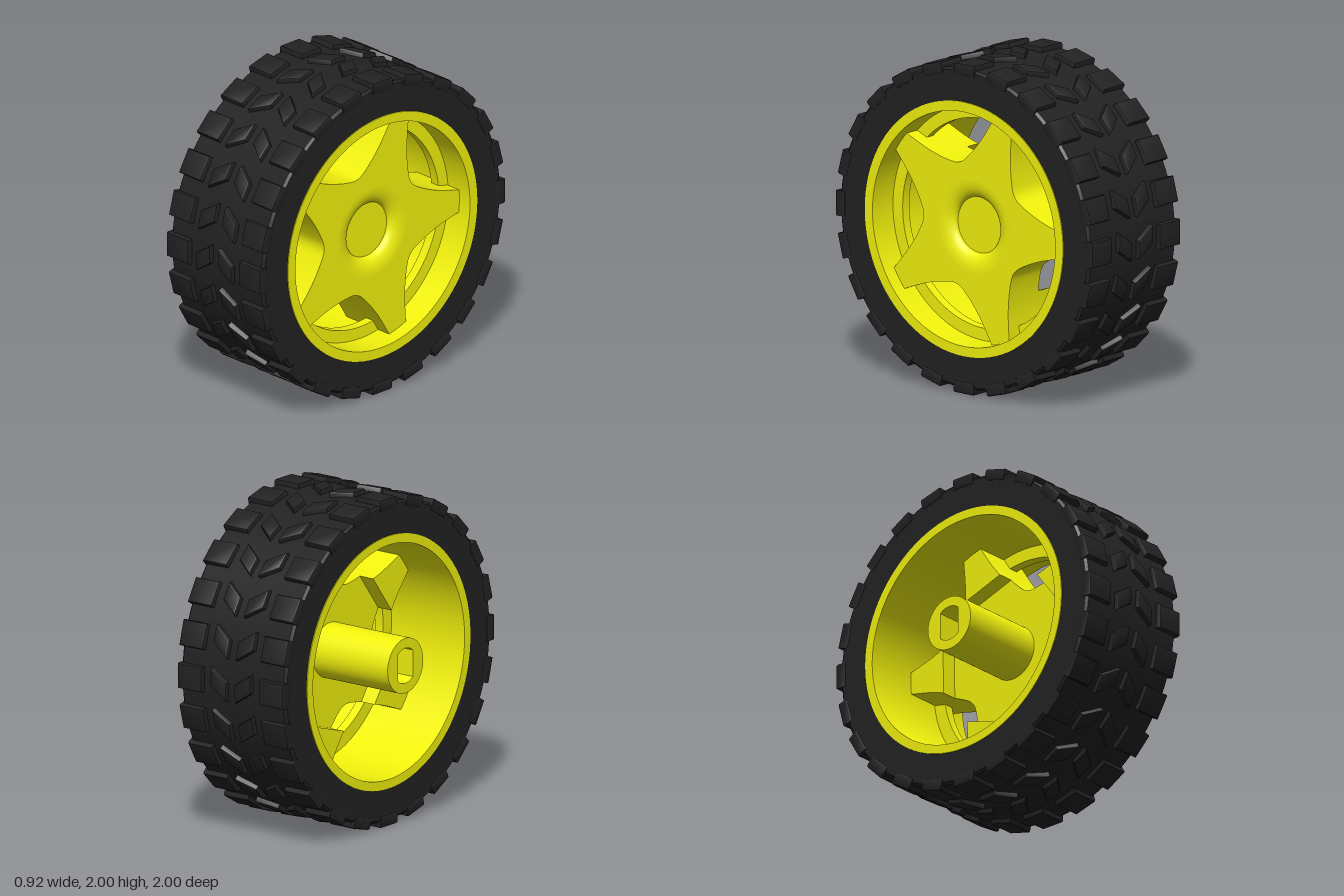
import * as THREE from 'three';
import { toCreasedNormals } from 'three/addons/utils/BufferGeometryUtils.js';

const yellow = new THREE.MeshStandardMaterial({ color: 0xf2f20d });
const rubber = new THREE.MeshStandardMaterial({ color: 0x222222 });
const DEG = Math.PI / 180;

function add(parent, name, geometry, material) {
  const mesh = new THREE.Mesh(geometry, material);
  mesh.name = name;
  parent.add(mesh);
  return mesh;
}

// Lathe around the axle; profile points are [radius, x], counterclockwise
function latheX(points, segments = 96) {
  const g = new THREE.LatheGeometry(points.map(p => new THREE.Vector2(p[0], p[1])), segments);
  return toCreasedNormals(g.rotateZ(-Math.PI / 2), 0.5);
}

// Extrude a side-on outline along the axle from x0 to x1
function extrudeX(shape, x0, x1) {
  const g = new THREE.ExtrudeGeometry(shape, { depth: x1 - x0, bevelEnabled: false, curveSegments: 32 });
  return toCreasedNormals(g.translate(0, 0, x0).rotateY(Math.PI / 2), 0.5);
}

const polar = (r, a) => new THREE.Vector2(r * Math.cos(a), r * Math.sin(a));
const TIP = 0.7125, ARM = 72 * DEG, FIRST = -1 * DEG;

// Scooped edge between two neighbouring arms, centred on angle 0
const scoop = new THREE.SplineCurve(
  [[0.615, -0.36], [0.5, -0.22], [0.42, -0.09], [0.39, 0], [0.42, 0.09], [0.5, 0.22], [0.615, 0.36]]
    .map(p => new THREE.Vector2(...p))).getPoints(36);

function starShape() {
  const pts = [];
  for (let k = 0; k < 5; k++) {
    const a = FIRST + k * ARM;
    for (const t of [-2, 0, 2]) pts.push(polar(TIP, a + t * DEG));
    for (const p of scoop) pts.push(polar(p.length(), a + ARM / 2 + p.angle()));
  }
  const shape = new THREE.Shape(pts);
  shape.holes.push(new THREE.Path().absarc(0, 0, 0.28, 0, Math.PI * 2, true));
  return shape;
}

// Outer part of one arm, beyond the given radius
function armEndShape(a, rMin) {
  const side = scoop.slice(18).filter(p => p.length() > rMin)
    .map(p => [p.length(), ARM / 2 - p.angle()]);
  const pts = side.map(([r, t]) => polar(r, a - t));
  pts.push(polar(TIP, a));
  side.reverse().forEach(([r, t]) => pts.push(polar(r, a + t)));
  return new THREE.Shape(pts);
}

// Tread block: outline in (x, tangent), raised outwards with a rounded edge
function blockGeometry(corners) {
  const b = 0.012;
  const cx = corners.reduce((s, p) => s + p[0], 0) / 4;
  const cy = corners.reduce((s, p) => s + p[1], 0) / 4;
  const shape = new THREE.Shape(corners.map(([x, y]) =>
    new THREE.Vector2(x - Math.sign(x - cx) * b, y - Math.sign(y - cy) * b)));
  const g = new THREE.ExtrudeGeometry(shape, {
    depth: 0.05, bevelEnabled: true, bevelSize: b, bevelThickness: b, bevelSegments: 2
  });
  return toCreasedNormals(g.translate(0, 0, 0.95 - b), 0.6);
}

export function createModel() {
  const model = new THREE.Group();
  model.name = 'wheel';
  const wheel = new THREE.Group();
  wheel.name = 'wheelAssembly';
  wheel.position.y = 1;
  model.add(wheel);

  // Tyre carcass
  add(wheel, 'tyre', latheX([
    [0.765, -0.335], [0.955, -0.335], [0.97, -0.32], [0.97, 0.435],
    [0.955, 0.45], [0.765, 0.45], [0.765, -0.335]]), rubber);

  // Four rows of tread: square shoulder blocks and a chevron pair
  const rows = {
    rightShoulderBlock: [[-0.34, -0.075], [-0.155, -0.075], [-0.155, 0.08], [-0.34, 0.08]],
    rightChevronBlock: [[-0.095, -0.085], [0.03, -0.015], [0.03, 0.1], [-0.095, 0.03]],
    leftChevronBlock: [[0.09, -0.015], [0.21, -0.085], [0.21, 0.03], [0.09, 0.1]],
    leftShoulderBlock: [[0.275, -0.075], [0.455, -0.075], [0.455, 0.08], [0.275, 0.08]]
  };
  for (const [name, corners] of Object.entries(rows)) {
    const row = new THREE.Group();
    row.name = name + 'Row';
    wheel.add(row);
    const geometry = blockGeometry(corners);
    for (let i = 0; i < 24; i++) add(row, name, geometry, rubber).rotation.x = i * 15 * DEG;
  }

  // Rim barrel with an inner flange behind the star
  add(wheel, 'rim', latheX([
    [0.715, -0.34], [0.77, -0.34], [0.77, 0.455], [0.71, 0.455], [0.71, 0.27],
    [0.635, 0.27], [0.635, 0.21], [0.715, 0.21], [0.715, -0.34]]), yellow);

  // Five-armed star and the deeper ends of its arms
  add(wheel, 'star', extrudeX(starShape(), 0.1, 0.365), yellow);
  for (let k = 0; k < 5; k++) {
    add(wheel, 'armEnd', extrudeX(armEndShape(FIRST + k * ARM, 0.47), 0, 0.1), yellow);
  }

  // Dished centre of the star
  const dish = [[0, 0.1], [0.28, 0.1], [0.28, 0.365]];
  for (let i = 1; i <= 10; i++) {
    const t = i / 10 * Math.PI / 2;
    dish.push([0.28 - 0.11 * Math.sin(t), 0.31 + 0.055 * Math.cos(t)]);
  }
  dish.push([0, 0.31]);
  add(wheel, 'starCentre', latheX(dish, 64), yellow);

  // Hub tube with a flat-sided axle slot
  const hub = new THREE.Shape().absarc(0, 0, 0.168, 0, Math.PI * 2, false);
  const slot = new THREE.Path();
  const half = Math.asin(0.07 / 0.107);
  slot.absarc(0, 0, 0.107, Math.PI / 2 + half, Math.PI / 2 - half, true);
  slot.absarc(0, 0, 0.107, -Math.PI / 2 + half, -Math.PI / 2 - half, true);
  slot.closePath();
  hub.holes.push(slot);
  add(wheel, 'hub', extrudeX(hub, -0.465, 0.1), yellow);

  return model;
}
